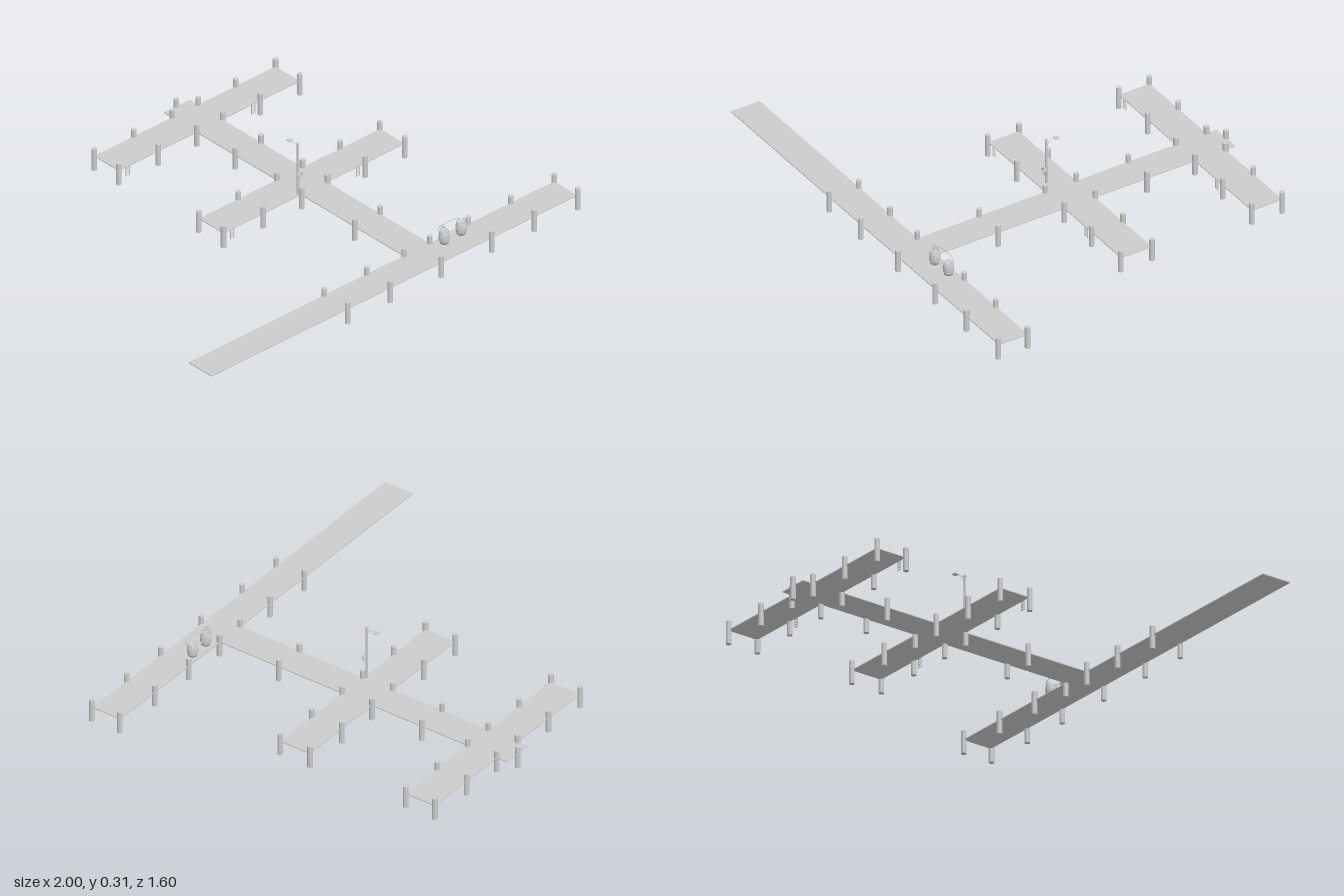
import * as THREE from 'three';

const DECK_Y = 0.064;

export function createModel() {
  const root = new THREE.Group();
  const mat = new THREE.MeshStandardMaterial({ color: 0xcccccc });
  const add = (name, geometry, x = 0, y = 0, z = 0, parent = root) => {
    const mesh = new THREE.Mesh(geometry, mat);
    mesh.name = name;
    mesh.position.set(x, y, z);
    parent.add(mesh);
    return mesh;
  };
  const group = (name, x, y, z) => {
    const g = new THREE.Group();
    g.name = name;
    g.position.set(x, y, z);
    root.add(g);
    return g;
  };
  const tube = (pts, r, closed = false, n = 40) => new THREE.TubeGeometry(
    new THREE.CatmullRomCurve3(pts.map(p => new THREE.Vector3(...p)), closed), n, r, 6, closed);

  // Deck: walkway crossed by two piers, with a long quay at the front (x, z outline)
  const outline = [
    [-1, 0.782], [0.985, 0.782], [0.985, 0.645], [0.308, 0.645],
    [0.308, 0.032], [0.73, 0.032], [0.73, -0.113], [0.308, -0.113],
    [0.308, -0.593], [0.73, -0.593], [0.73, -0.738], [0.308, -0.738],
    [0.308, -0.787], [0.17, -0.787], [0.17, -0.738], [-0.253, -0.738],
    [-0.253, -0.593], [0.17, -0.593], [0.17, -0.113], [-0.253, -0.113],
    [-0.253, 0.032], [0.17, 0.032], [0.17, 0.645], [-1, 0.645],
  ];
  const shape = new THREE.Shape(outline.map(([x, z]) => new THREE.Vector2(x, -z)));
  const deckGeo = new THREE.ExtrudeGeometry(shape, { depth: 0.004, bevelEnabled: false });
  deckGeo.rotateX(-Math.PI / 2);
  add('deck', deckGeo, 0, DECK_Y - 0.004, 0);

  // Mooring posts along the deck edges
  const pierX = [-0.255, -0.04, 0.17, 0.31, 0.515, 0.73];
  const rows = [
    [-0.788, [0.237]],
    [-0.738, pierX], [-0.592, pierX],
    [-0.363, [0.17, 0.31]],
    [-0.115, pierX], [0.034, pierX],
    [0.35, [0.17, 0.31]],
    [0.646, [-0.265, -0.033, 0.17, 0.31, 0.518, 0.75, 0.986]],
    [0.786, [-0.265, -0.033, 0.243, 0.518, 0.75, 0.986]],
  ];
  const postGeo = new THREE.CylinderGeometry(0.0115, 0.0115, 0.1, 12);
  for (const [z, xs] of rows) for (const x of xs) add('post', postGeo, x, 0.05, z);

  // Ladders hanging from the front edges of the piers
  const railGeo = new THREE.BoxGeometry(0.002, 0.046, 0.003);
  const rungGeo = new THREE.BoxGeometry(0.02, 0.003, 0.003);
  for (const z of [-0.59, 0.035]) for (const x of [-0.208, 0.475]) {
    const ladder = group('ladder', x, 0, z);
    for (const s of [-1, 1]) add('ladderRail', railGeo, s * 0.009, 0.043, 0, ladder);
    for (let i = 0; i < 4; i++) add('ladderRung', rungGeo, 0, 0.025 + i * 0.011, 0, ladder);
  }

  // Lamp post with a curved arm and a flat square shade
  const lamp = group('lampPost', 0.16, 0, 0.022);
  add('lampPole', new THREE.CylinderGeometry(0.005, 0.006, 0.245, 8), 0, 0.1865, 0, lamp);
  add('lampCap', new THREE.CylinderGeometry(0.007, 0.007, 0.006, 8), 0, 0.306, 0, lamp);
  add('lampArm', tube([[0, 0.28, -0.003], [0, 0.294, -0.012], [0, 0.302, -0.03],
    [0, 0.301, -0.048]], 0.0014, false, 16), 0, 0, 0, lamp);
  add('lampShade', new THREE.BoxGeometry(0.02, 0.004, 0.02), 0, 0.3, -0.048, lamp);

  // Life ring hung on the lamp pole
  add('lifeRing', new THREE.TorusGeometry(0.013, 0.004, 8, 24), 0, 0.16, 0.01, lamp);
  add('lifeRingHook', new THREE.BoxGeometry(0.004, 0.004, 0.01), 0, 0.174, 0.007, lamp);

  // Pair of barrels standing on the quay
  const barrelGeo = new THREE.LatheGeometry([
    [0, 0], [0.018, 0], [0.022, 0.014], [0.0235, 0.028], [0.022, 0.042], [0.018, 0.056],
    [0.016, 0.056], [0.016, 0.052], [0, 0.052],
  ].map(p => new THREE.Vector2(...p)), 20);
  const hoopGeo = new THREE.TorusGeometry(0.0222, 0.001, 6, 24).rotateX(Math.PI / 2);
  for (const [x, z] of [[0.355, 0.682], [0.45, 0.678]]) {
    const barrel = group('barrel', x, DECK_Y, z);
    add('barrelBody', barrelGeo, 0, 0, 0, barrel);
    for (const y of [0.014, 0.042]) add('barrelHoop', hoopGeo, 0, y, 0, barrel);
  }

  // Rope looped across the barrels, its end coiled up on the left one
  add('ropeLoop', tube([
    [0.335, 0.122, 0.68], [0.35, 0.126, 0.655], [0.39, 0.127, 0.65], [0.44, 0.126, 0.653],
    [0.473, 0.123, 0.675], [0.465, 0.122, 0.7], [0.42, 0.125, 0.708], [0.365, 0.125, 0.706],
  ], 0.0016, true, 64));
  const coil = [];
  for (let i = 0; i <= 24; i++) {
    const a = i * Math.PI / 4;
    const r = 0.014 - i * 0.0004;
    coil.push([r * Math.cos(a), i * 0.0012, r * Math.sin(a)]);
  }
  add('ropeCoil', tube(coil, 0.002, false, 96), 0.352, 0.121, 0.68);

  return root;
}
